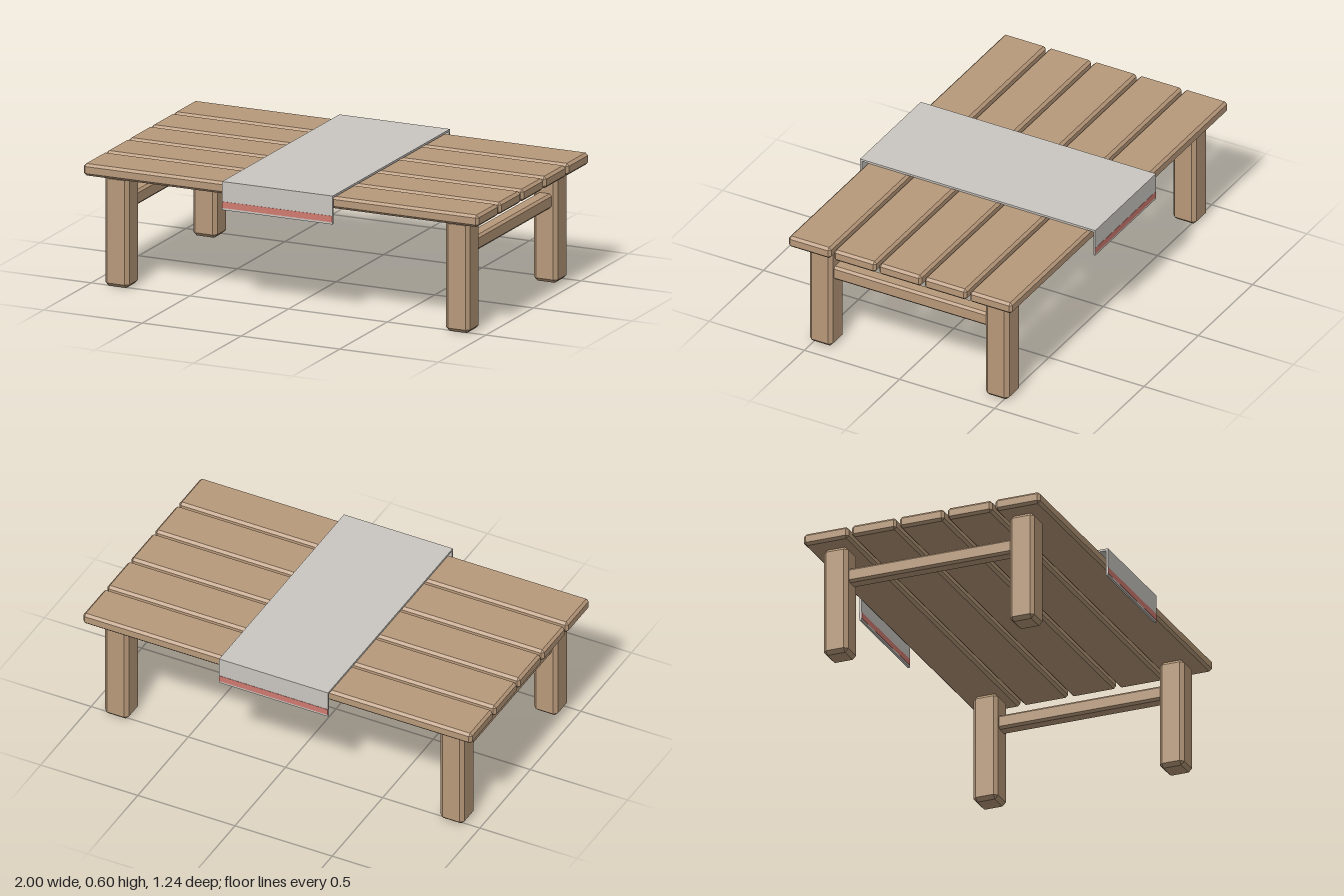
import * as THREE from 'three';
import { ConvexGeometry } from 'three/addons/geometries/ConvexGeometry.js';

const material = (name, color) => Object.assign(new THREE.MeshStandardMaterial({ color }), { name });

// Box with every edge and corner cut by a flat chamfer
function chamferBox(w, h, d, c) {
  const points = [];
  for (const x of [-1, 1]) for (const y of [-1, 1]) for (const z of [-1, 1]) {
    for (let face = 0; face < 3; face++) {
      points.push(new THREE.Vector3(
        x * (w / 2 - (face === 0 ? 0 : c)),
        y * (h / 2 - (face === 1 ? 0 : c)),
        z * (d / 2 - (face === 2 ? 0 : c))));
    }
  }
  return new ConvexGeometry(points);
}

export function createModel() {
  const group = new THREE.Group();
  group.name = 'slattedTable';
  const wood = material('wood', 0xb8997a);
  const cloth = material('cloth', 0xcac6c0);
  const red = material('redTrim', 0xcf7a70);

  const add = (name, geometry, mat, x, y, z) => {
    const mesh = new THREE.Mesh(geometry, mat);
    mesh.name = name;
    mesh.position.set(x, y, z);
    group.add(mesh);
  };

  // Five planks of the top
  const plank = chamferBox(2, 0.057, 0.222, 0.012);
  for (let i = -2; i <= 2; i++) add('plank', plank, wood, 0, 0.5595, i * 0.238);

  // Legs, and a rail joining each end pair
  const leg = chamferBox(0.122, 0.53, 0.122, 0.017);
  const rail = chamferBox(0.072, 0.07, 0.83, 0.011);
  for (const x of [-0.863, 0.863]) {
    for (const z of [-0.463, 0.463]) add('leg', leg, wood, x, 0.265, z);
    add('endRail', rail, wood, x, 0.39, 0);
  }

  // Cloth runner with a hanging flap and red band at each end
  add('runnerTop', new THREE.BoxGeometry(0.56, 0.01, 1.236), cloth, 0, 0.596, 0);
  const flap = new THREE.BoxGeometry(0.56, 0.125, 0.01);
  const band = new THREE.BoxGeometry(0.558, 0.03, 0.013);
  for (const s of [-1, 1]) {
    add('runnerFlap', flap, cloth, 0, 0.5285, s * 0.613);
    add('runnerBand', band, red, 0, 0.491, s * 0.613);
  }
  return group;
}
